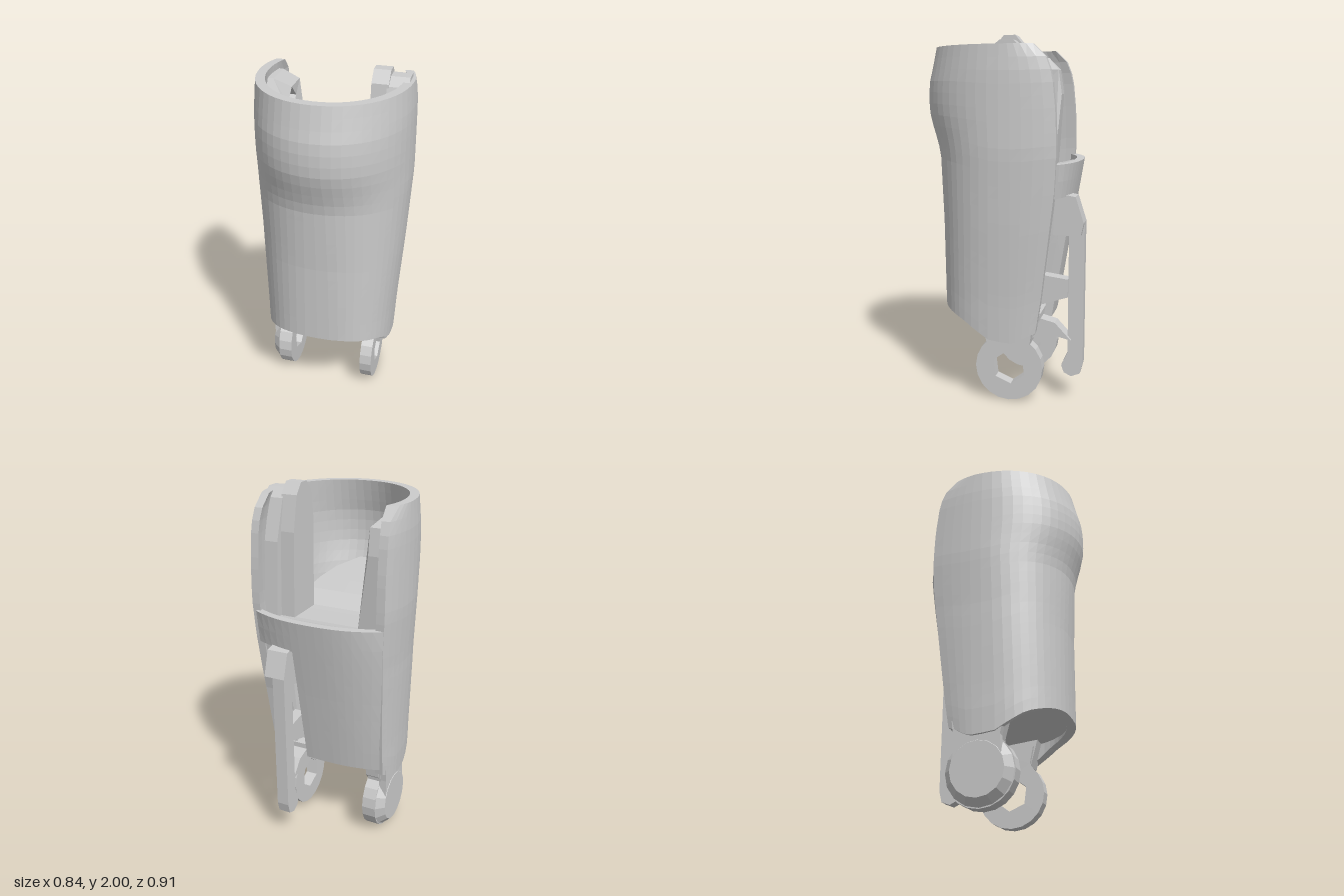
import * as THREE from 'three';

const material = new THREE.MeshStandardMaterial({ color: 0xcccccc, flatShading: true, side: THREE.DoubleSide });

// Piecewise linear lookup through [key, value] pairs in rising key order
function lookup(pairs, k) {
  if (k <= pairs[0][0]) return pairs[0][1];
  for (let i = 1; i < pairs.length; i++) {
    const [k0, v0] = pairs[i - 1], [k1, v1] = pairs[i];
    if (k <= k1) return v0 + (v1 - v0) * (k - k0) / (k1 - k0);
  }
  return pairs[pairs.length - 1][1];
}

// Side profiles of the shell against height
const halfWidth = [[0.35, 0.36], [0.6, 0.372], [1, 0.4], [1.4, 0.422], [1.8, 0.42], [1.95, 0.41]];
const rightFlare = [[0.5, 0.018], [1.1, 0]];
const squareness = [[0.5, 2.6], [1, 2.35], [1.5, 2.08]];
const frontZ = [[0.5, 0.36], [1, 0.37], [1.37, 0.39], [1.44, 0.408], [1.52, 0.436], [1.6, 0.456], [1.68, 0.46], [1.76, 0.455], [1.85, 0.432], [1.95, 0.41]];
const backZ = [[0.35, -0.2], [0.6, -0.24], [1.2, -0.315], [1.4, -0.325], [1.6, -0.32], [1.8, -0.3], [1.9, -0.26], [1.95, -0.2]];
const bottomY = [[-0.22, 0.42], [-0.1, 0.36], [0.04, 0.37], [0.2, 0.47], [0.35, 0.52]];
const panelZ = [[0.42, -0.26], [0.9, -0.34], [1.34, -0.415]];
const webWidth = [[-0.37, 0.2], [-0.3, 0.34], [-0.05, 0.39], [0.15, 0.345], [0.28, 0.23], [0.36, 0.06]];

// Point on the shell section at height y; u runs from -1 (right back edge) to 1 (left back edge)
function section(u, y, inset) {
  const a = lookup(halfWidth, y) - inset + (u < 0 ? lookup(rightFlare, y) : 0);
  const zf = lookup(frontZ, y) - inset, zb = lookup(backZ, y), z0 = -0.05;
  const side = Math.sign(u), k = Math.abs(u) / 0.74;
  if (k <= 1) {
    const t = k * Math.PI / 2, e = 2 / lookup(squareness, y);
    return [side * a * Math.pow(Math.sin(t), e), z0 + (zf - z0) * Math.pow(Math.max(0, Math.cos(t)), e)];
  }
  const s = (Math.abs(u) - 0.74) / 0.26;
  return [side * a * (1 - 0.08 * s * s), z0 + (zb - z0) * s];
}

// Thick curved sheet: point(u, v, inner) with u, v in 0..1; rims are closed
function sheet(name, point, nu, nv) {
  const pos = [], index = [], ring = 2 * (nu + 1);
  for (let j = 0; j <= nv; j++) {
    for (let i = 0; i < ring; i++) {
      const inner = i > nu;
      pos.push(...point((inner ? ring - 1 - i : i) / nu, j / nv, inner));
    }
  }
  for (let j = 0; j < nv; j++) {
    for (let i = 0; i < ring; i++) {
      const a = j * ring + i, b = j * ring + (i + 1) % ring;
      index.push(a, b, b + ring, a, b + ring, a + ring);
    }
  }
  for (let i = 0; i < nu; i++) {
    const a = i, b = i + 1, c = ring - 2 - i, d = ring - 1 - i, top = nv * ring;
    index.push(a, c, b, a, d, c);
    index.push(top + a, top + b, top + c, top + a, top + c, top + d);
  }
  const g = new THREE.BufferGeometry();
  g.setAttribute('position', new THREE.Float32BufferAttribute(pos, 3));
  g.setIndex(index);
  return finish(name, g);
}

function finish(name, geometry) {
  const flat = geometry.index ? geometry.toNonIndexed() : geometry;
  flat.computeVertexNormals();
  const mesh = new THREE.Mesh(flat, material);
  mesh.name = name;
  return mesh;
}

const polygon = (cz, cy, r, n, turn = 0) => Array.from({ length: n }, (_, i) => {
  const t = turn + i / n * Math.PI * 2;
  return [cz + r * Math.cos(t), cy + r * Math.sin(t)];
});

// Flat plate from a [z, y] outline, spanning x0..x1
function plate(name, outline, x0, x1, hole) {
  const toPoints = list => list.map(([z, y]) => new THREE.Vector2(-z, y));
  const shape = new THREE.Shape(toPoints(outline));
  if (hole) shape.holes.push(new THREE.Path(toPoints(hole)));
  const g = new THREE.ExtrudeGeometry(shape, { depth: x1 - x0, bevelEnabled: false });
  g.rotateY(Math.PI / 2).translate(x0, 0, 0);
  return finish(name, g);
}

// Web closing the inside of the shell; profile gives its height against z
function web(name, profile, thick, z0, z1, scale) {
  return sheet(name, (u, v, inner) => {
    const z = z0 + (z1 - z0) * v;
    return [(2 * u - 1) * lookup(webWidth, z) * scale, lookup(profile, z) - (inner ? thick : 0), z];
  }, 8, 12);
}

// Back panel strip between x0 and x1, narrowing downwards with the shell
function backPanel(name, x0, x1, y0, y1, nu, nv) {
  return sheet(name, (u, v, inner) => {
    const x = x0 + (x1 - x0) * u, y = y0 + (y1 - y0) * v;
    const edge = lookup(backZ, y), bulge = 1 - Math.pow(Math.min(1, Math.abs(x) / 0.385), 2.5);
    return [x * lookup(halfWidth, y) / 0.42, y, edge + (lookup(panelZ, y) - edge) * bulge + (inner ? 0.045 : 0)];
  }, nu, nv);
}

export function createModel() {
  const model = new THREE.Group();
  model.name = 'limbShell';

  // Curved outer shell, open at the back
  model.add(sheet('shell', (u, v, inner) => {
    const s = 2 * u - 1;
    const low = lookup(bottomY, section(s, 0.5, 0)[1]);
    const y = low + (1.95 - low) * v;
    const [x, z] = section(s, y, inner ? 0.05 : 0);
    return [x, y, z];
  }, 36, 24));

  // Lower back panel, with a slot along its left edge
  model.add(backPanel('backPanel', -0.385, 0.12, 0.45, 1.34, 10, 8));
  model.add(backPanel('backPanelTop', 0.12, 0.36, 1.16, 1.34, 5, 2));

  // Flange turning inward from the shell edge along the slot
  model.add(sheet('slotFlange', (u, v, inner) => {
    const y = 0.46 + 0.74 * v;
    return [0.2 + (lookup(halfWidth, y) * 0.9 - 0.2) * u, y, lookup(backZ, y) + (inner ? 0.05 : 0.015)];
  }, 2, 6));

  // Inner webs: a shallow bowl behind the panel rim, and the lower closure
  model.add(web('upperWeb', [[-0.37, 1.325], [-0.21, 1.28], [0.05, 1.27], [0.18, 1.33], [0.36, 1.5]], 0.05, -0.37, 0.36, 0.98));
  model.add(web('lowerWeb', [[-0.22, 0.5], [0.33, 0.56]], 0.035, -0.22, 0.33, 0.86));

  // Upper joint ears inside the shell, the right one with a recess
  const ear = [[0.06, 1.26], [0.06, 1.82], [0, 1.91], [-0.16, 1.91], [-0.23, 1.84], [-0.25, 1.7], [-0.22, 1.26]];
  const rightEar = plate('rightUpperEar', ear, -0.39, -0.23, polygon(-0.09, 1.77, 0.07, 4));
  const p = rightEar.geometry.attributes.position;
  for (let i = 0; i < p.count; i++) {
    if (p.getX(i) > -0.3) p.setX(i, -0.26 + 0.07 * Math.max(0, 1.7 - p.getY(i)) / 0.45 - 0.07 * Math.max(0, p.getY(i) - 1.84) / 0.07);
  }
  rightEar.geometry.computeVertexNormals();
  model.add(rightEar);
  const leftEar = [[0.03, 1.28], [0.04, 1.8], [0.02, 1.94], [-0.03, 2], [-0.09, 2], [-0.14, 1.94], [-0.18, 1.75], [-0.2, 1.28]];
  model.add(plate('leftUpperEar', leftEar, 0.2, 0.29));
  const earRoot = [[0.1, 1.28], [0.08, 1.75], [0.02, 1.93], [-0.03, 1.97], [-0.1, 1.97], [-0.15, 1.92], [-0.22, 1.7], [-0.25, 1.28]];
  model.add(plate('leftUpperEarRoot', earRoot, 0.28, 0.39));

  // Lower hinge lugs with their necks
  const lug = [[0.08, 0.46], [0.06, 0.36]];
  for (let i = 0; i <= 16; i++) {
    const t = 0.95 - i / 16 * (Math.PI + 1.9);
    lug.push([-0.05 + 0.19 * Math.cos(t), 0.19 + 0.19 * Math.sin(t)]);
  }
  lug.push([-0.19, 0.38], [-0.2, 0.46]);
  const hole = polygon(-0.05, 0.19, 0.095, 6, 0.4);
  model.add(plate('leftLug', lug, 0.2, 0.27, hole));
  model.add(plate('rightLug', lug, -0.32, -0.24, hole));
  const boss = new THREE.CylinderGeometry(0.145, 0.185, 0.045, 16);
  boss.rotateZ(Math.PI / 2).translate(-0.342, 0.19, -0.05);
  model.add(finish('rightLugBoss', boss));
  const neck = [[0.1, 0.5], [0.06, 0.35], [-0.02, 0.3], [-0.1, 0.3], [-0.18, 0.35], [-0.2, 0.5]];
  model.add(plate('leftNeck', neck, 0.22, 0.335));
  const wideNeck = [[0.1, 0.5], [0.07, 0.36], [0.08, 0.22], [-0.18, 0.22], [-0.18, 0.36], [-0.19, 0.45]];
  model.add(plate('rightNeck', wideNeck, -0.362, -0.32));
  model.add(plate('rightNeckInner', neck, -0.33, -0.25));

  // Long rear strut running beside the slot
  model.add(plate('rearStrut', [
    [-0.36, 1.14], [-0.41, 1.14], [-0.455, 1.02], [-0.455, 0.22], [-0.44, 0.16], [-0.39, 0.14],
    [-0.35, 0.16], [-0.335, 0.2], [-0.37, 0.28], [-0.37, 0.95],
  ], 0.13, 0.2));
  model.add(plate('strutHead', [[-0.3, 1.18], [-0.41, 1.16], [-0.455, 1.02], [-0.44, 0.95], [-0.29, 0.95]], 0.13, 0.25));

  // Brackets joining the strut to the shell
  model.add(plate('strutBracket', [[-0.22, 0.72], [-0.37, 0.7], [-0.37, 0.6], [-0.22, 0.55]], 0.14, 0.22));
  model.add(plate('lowerBracket', [[-0.18, 0.48], [-0.3, 0.45], [-0.39, 0.355], [-0.2, 0.4]], 0.13, 0.22));
  return model;
}
